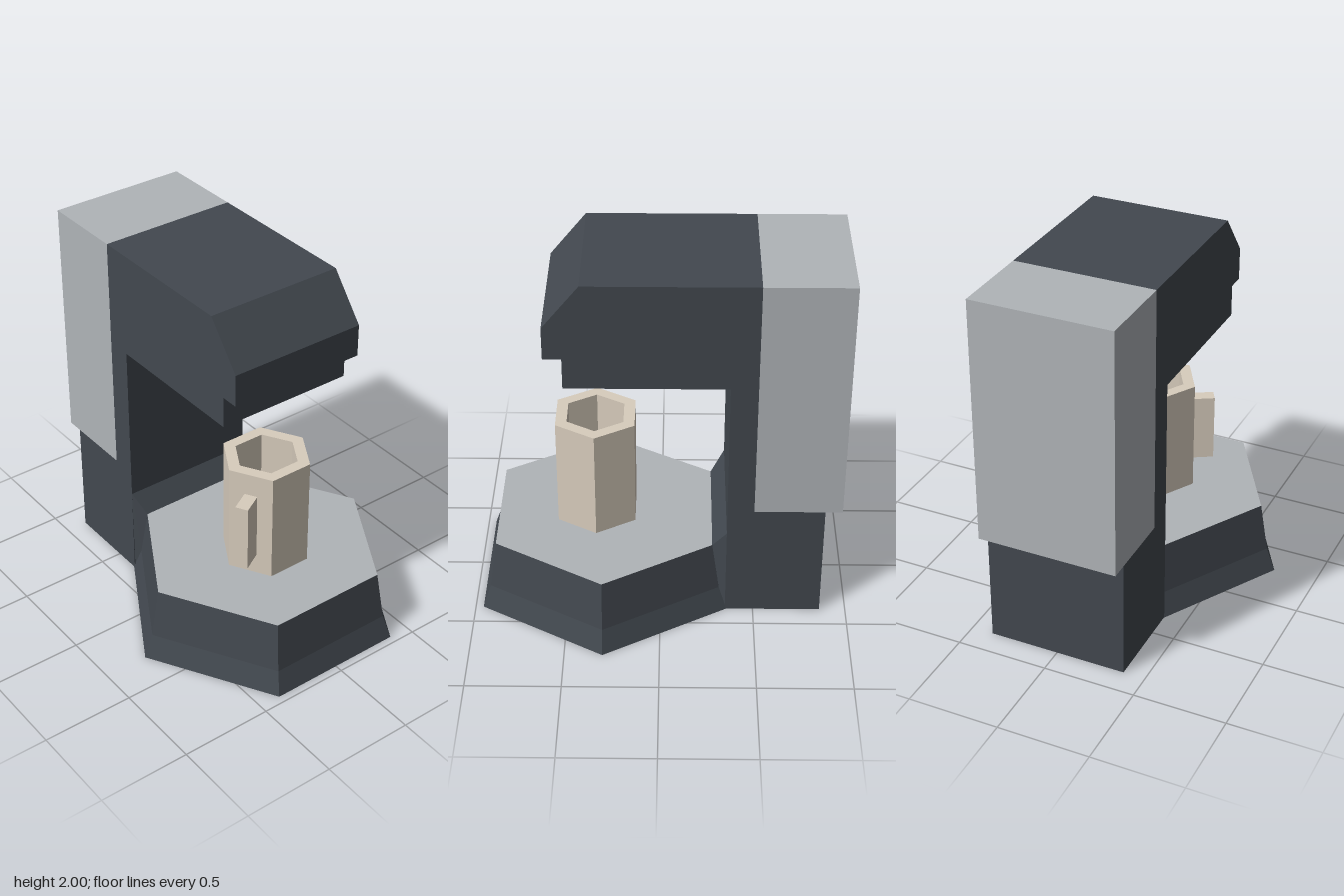
import * as THREE from 'three';

const paint = (color, side = THREE.FrontSide) =>
  new THREE.MeshStandardMaterial({ color, flatShading: true, side });

const DARK = 0x42484f, GREY = 0xb0b4b8, CREAM = 0xd8cdbd;
const HALF_W = 0.38;   // half width of the body
const BASE_Z = 0.3;    // centre of the hexagonal base
const CUP_Z = 0.345;   // centre of the cup

function add(group, name, geometry, material) {
  const mesh = new THREE.Mesh(geometry, material);
  mesh.name = name;
  group.add(mesh);
  return mesh;
}

// Six-sided turned form with corners on the x axis; profile is [radius, y] pairs
const hexLathe = (profile) => new THREE.LatheGeometry(
  profile.map(([r, y]) => new THREE.Vector2(r, y)), 6, Math.PI / 6);

export function createModel() {
  const model = new THREE.Group();
  model.name = 'coffeeMachine';

  // Body: C-shaped side profile (z, y) extruded across the width
  const profile = [
    [-0.86, 0], [-0.35, 0], [-0.35, 1.42], [0.485, 1.42], [0.485, 1.59],
    [0.58, 1.59], [0.58, 1.765], [0.39, 2], [-0.49, 2], [-0.49, 0.66], [-0.86, 0.66],
  ].map(([z, y]) => new THREE.Vector2(z, y));
  const body = new THREE.ExtrudeGeometry(new THREE.Shape(profile),
    { depth: 2 * HALF_W, bevelEnabled: false });
  body.rotateY(-Math.PI / 2).translate(HALF_W, 0, 0);
  add(model, 'body', body, paint(DARK));

  // Water tank hung on the back
  const tank = new THREE.BoxGeometry(2 * HALF_W, 1.34, 0.46);
  tank.translate(0, 1.33, -0.72);
  add(model, 'waterTank', tank, paint(GREY));

  // Flared hexagonal base and its drip plate
  add(model, 'base', hexLathe([[0, 0], [0.76, 0], [0.71, 0.13], [0.665, 0.4]]),
    paint(DARK)).position.z = BASE_Z;
  add(model, 'dripPlate', hexLathe([[0.665, 0.4], [0, 0.4]]),
    paint(GREY)).position.z = BASE_Z;

  // Sloped fillet joining the back edge of the base to the body
  const edge = [[HALF_W, 0.515, -0.35], [0.3325, 0.4, -0.276], [0.355, 0.13, -0.315], [HALF_W, 0, -0.358]];
  const corners = [1, -1].flatMap((s) => edge.flatMap(([x, y, z]) => [s * x, y, z]));
  const fillet = new THREE.BufferGeometry();
  fillet.setAttribute('position', new THREE.Float32BufferAttribute(corners, 3));
  fillet.setIndex([
    0, 4, 5, 0, 5, 1,          // slope
    0, 1, 2, 0, 2, 3,          // left side
    4, 6, 5, 4, 7, 6,          // right side
  ]);
  fillet.computeVertexNormals();
  add(model, 'fillet', fillet, paint(DARK, THREE.DoubleSide));

  // Hollow hexagonal cup
  const cup = new THREE.Group();
  cup.name = 'cup';
  cup.position.z = CUP_Z;
  add(cup, 'cupWall', hexLathe([
    [0, 0.402], [0.24, 0.402], [0.24, 1.02], [0.172, 1.02], [0.172, 0.46], [0, 0.46],
  ]), paint(CREAM));

  // Handle: slab standing out from the front right facet
  const handle = new THREE.BoxGeometry(0.07, 0.375, 0.14);
  handle.translate(0, 0.7075, 0.26);
  handle.rotateY(-Math.PI / 3);
  add(cup, 'cupHandle', handle, paint(CREAM));
  model.add(cup);

  return model;
}
